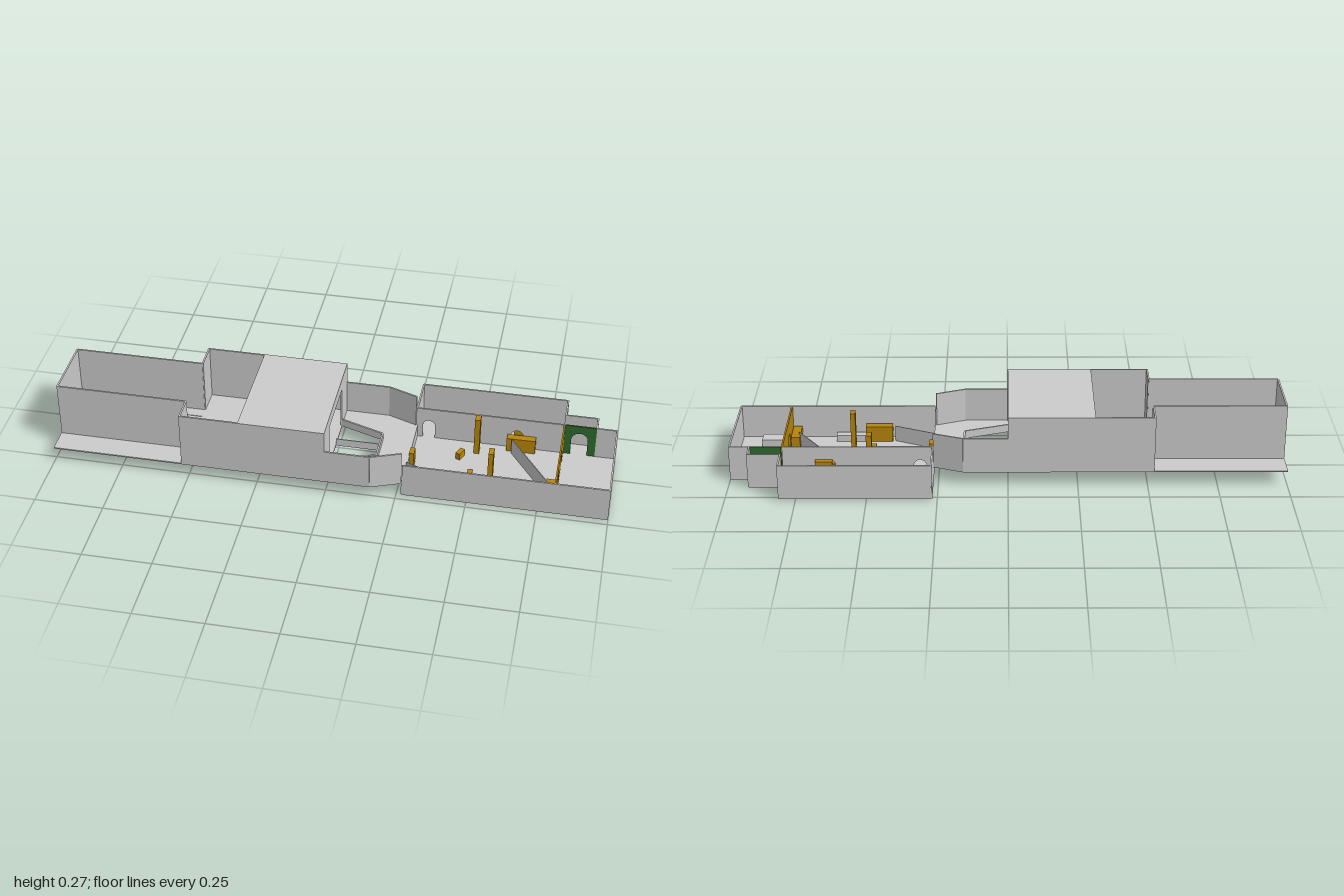
import * as THREE from 'three';

export function createModel() {
  const model = new THREE.Group();
  const material = (color) => new THREE.MeshStandardMaterial({ color, side: THREE.DoubleSide, flatShading: true });
  const grey = material(0xcccccc), orange = material(0xb8860b), green = material(0x2e6b2e);
  const T = 0.006; // wall thickness

  function add(name, geometry, mat = grey) {
    const mesh = new THREE.Mesh(geometry, mat);
    mesh.name = name;
    model.add(mesh);
    return mesh;
  }
  // box given by its limits
  function box(name, x0, x1, y0, y1, z0, z1, mat) {
    const mesh = add(name, new THREE.BoxGeometry(x1 - x0, y1 - y0, z1 - z0), mat);
    mesh.position.set((x0 + x1) / 2, (y0 + y1) / 2, (z0 + z1) / 2);
    return mesh;
  }
  // flat slab from [x, z] outline, with optional hole
  function slab(name, outline, y0, y1, hole) {
    const points = (list) => list.map(([x, z]) => new THREE.Vector2(x, -z));
    const shape = new THREE.Shape(points(outline));
    if (hole) shape.holes.push(new THREE.Path(points(hole)));
    const geometry = new THREE.ExtrudeGeometry(shape, { depth: y1 - y0, bevelEnabled: false });
    geometry.rotateX(-Math.PI / 2).translate(0, y0, 0);
    return add(name, geometry);
  }
  // upright wall between two [x, z] points; arches are [centre, width, height]
  function wall(name, [ax, az], [bx, bz], y0, y1, mat, arches = [], thick = T) {
    const length = Math.hypot(bx - ax, bz - az);
    const shape = new THREE.Shape();
    shape.moveTo(0, 0);
    for (const [c, w, h] of arches) {
      shape.lineTo(c - w / 2, 0);
      shape.lineTo(c - w / 2, h - w / 2);
      shape.absarc(c, h - w / 2, w / 2, Math.PI, 0, true);
      shape.lineTo(c + w / 2, 0);
    }
    shape.lineTo(length, 0);
    shape.lineTo(length, y1 - y0);
    shape.lineTo(0, y1 - y0);
    const geometry = new THREE.ExtrudeGeometry(shape, { depth: thick, bevelEnabled: false, curveSegments: 8 });
    geometry.translate(0, 0, -thick / 2);
    const mesh = add(name, geometry, mat);
    mesh.position.set(ax, y0, az);
    mesh.rotation.y = -Math.atan2(bz - az, bx - ax);
    return mesh;
  }
  // run of walls through a list of points
  function wallRun(name, points, y0, y1) {
    for (let i = 1; i < points.length; i++) wall(name, points[i - 1], points[i], y0, y1, grey);
  }

  // upper floor of corridor, hall and tapered landing, with the opening to below
  const F = 0.053;
  const pit = [[0, -0.065], [0.16, -0.01], [0.16, 0.12], [0, 0.175]];
  slab('upperFloor', [[-1, -0.16], [0.16, -0.16], [0.267, -0.118], [0.267, 0.228],
    [0.16, 0.27], [-1, 0.27]], F, F + 0.005, pit);
  wallRun('pitCurb', [pit[0], pit[1], pit[2], pit[3]], F, F + 0.03);
  wall('pitRail', [0, 0.055], [0.16, 0.055], F, F + 0.03, grey, [], 0.003);

  // open-topped corridor
  wallRun('corridorWall', [[-0.52, -0.06], [-0.997, -0.06], [-0.997, 0.177], [-0.52, 0.177]], F, 0.267);
  for (const z of [-0.015, 0.03, 0.08, 0.125])
    box('floorStrip', -0.995, -0.52, F + 0.005, F + 0.007, z - 0.002, z + 0.002);

  // hall: side walls, rear shoulders, roof and gateway
  for (const [outer, inner] of [[-0.157, -0.06], [0.267, 0.177]]) {
    wall('hallSideWall', [-0.523, outer], [0, outer], F, 0.267, grey);
    wall('hallShoulder', [-0.52, outer], [-0.52, inner], F, 0.267, grey);
    wall('gateSide', [-0.003, outer], [-0.003, inner], F, 0.267, grey);
  }
  box('hallRoof', -0.31, 0, 0.261, 0.267, -0.16, 0.27);
  box('gateLintel', -T, 0, 0.223, 0.267, -0.06, 0.18);
  const ceiling = box('slopedCeiling', -0.31, 0, 0.211, 0.215, -0.058, 0.178);
  ceiling.rotation.z = Math.atan2(0.023, 0.31);

  // tapered landing walls
  wallRun('landingWall', [[0, -0.157], [0.16, -0.157], [0.267, -0.117]], F, 0.186);
  wallRun('landingWall', [[0, 0.267], [0.16, 0.267], [0.267, 0.226]], F, 0.186);

  // lower room with two side bays
  const B = 0.004, H = 0.135;
  const room = [[0.27, -0.268], [0.808, -0.268], [0.808, -0.178], [0.925, -0.178],
    [0.925, -0.118], [0.997, -0.118], [0.997, 0.227], [0.27, 0.227]];
  slab('roomFloor', room, B, B + 0.005);
  wallRun('roomWall', room, B, H);
  wall('roomStep', [0.27, -0.118], [0.27, 0.227], B, F + 0.005, grey);
  wall('bayWall', [0.27, -0.268], [0.27, -0.118], B, H, grey);
  wall('bayPartition', [0.27, -0.118], [0.808, -0.118], B, H, grey,
    [[0.045, 0.045, 0.08], [0.37, 0.045, 0.08]]);
  wall('greenArch', [0.811, -0.118], [0.925, -0.118], B, H, green, [[0.055, 0.06, 0.1]]);
  wall('orangePartition', [0.808, -0.115], [0.808, 0.225], B, H, orange,
    [[0.08, 0.05, 0.08], [0.2, 0.05, 0.08]]);
  wall('slantedScreen', [0.625, -0.08], [0.775, 0.14], B, 0.07, grey, [], 0.003);
  wall('landingRail', [0.27, 0.125], [0.42, 0.19], B, 0.07, grey, [], 0.003);

  // tall pillars through the floor
  box('pillar', 0.49, 0.51, 0, 0.16, -0.083, -0.05, orange);
  box('pillar', 0.562, 0.58, 0, 0.16, 0.102, 0.138, orange);

  // counters and benches
  box('counter', 0.605, 0.71, B, 0.065, -0.115, -0.088, orange);
  box('counterTop', 0.628, 0.69, B, 0.085, -0.142, -0.122, orange);
  box('sideCounter', 0.77, 0.803, B, 0.06, 0.11, 0.21, orange);
  box('frontCounter', 0.43, 0.53, B, 0.07, 0.18, 0.21, orange);
  box('frontBench', 0.53, 0.64, B, 0.035, 0.18, 0.21);
  box('cornerBench', 0.812, 0.915, B, 0.035, 0.14, 0.195);

  // small loose blocks: x, z, turn, height
  for (const [x, z, turn, h] of [[0.482, -0.235, -0.5, 0.035], [0.418, -0.165, 0.5, 0.035],
    [0.445, -0.02, -0.4, 0.035], [0.28, 0.055, 0, 0.07], [0.495, 0.095, 0, 0.035]]) {
    const block = box('looseBlock', x - 0.009, x + 0.009, B, h, z - 0.018, z + 0.018, orange);
    block.rotation.y = turn;
  }
  return model;
}
